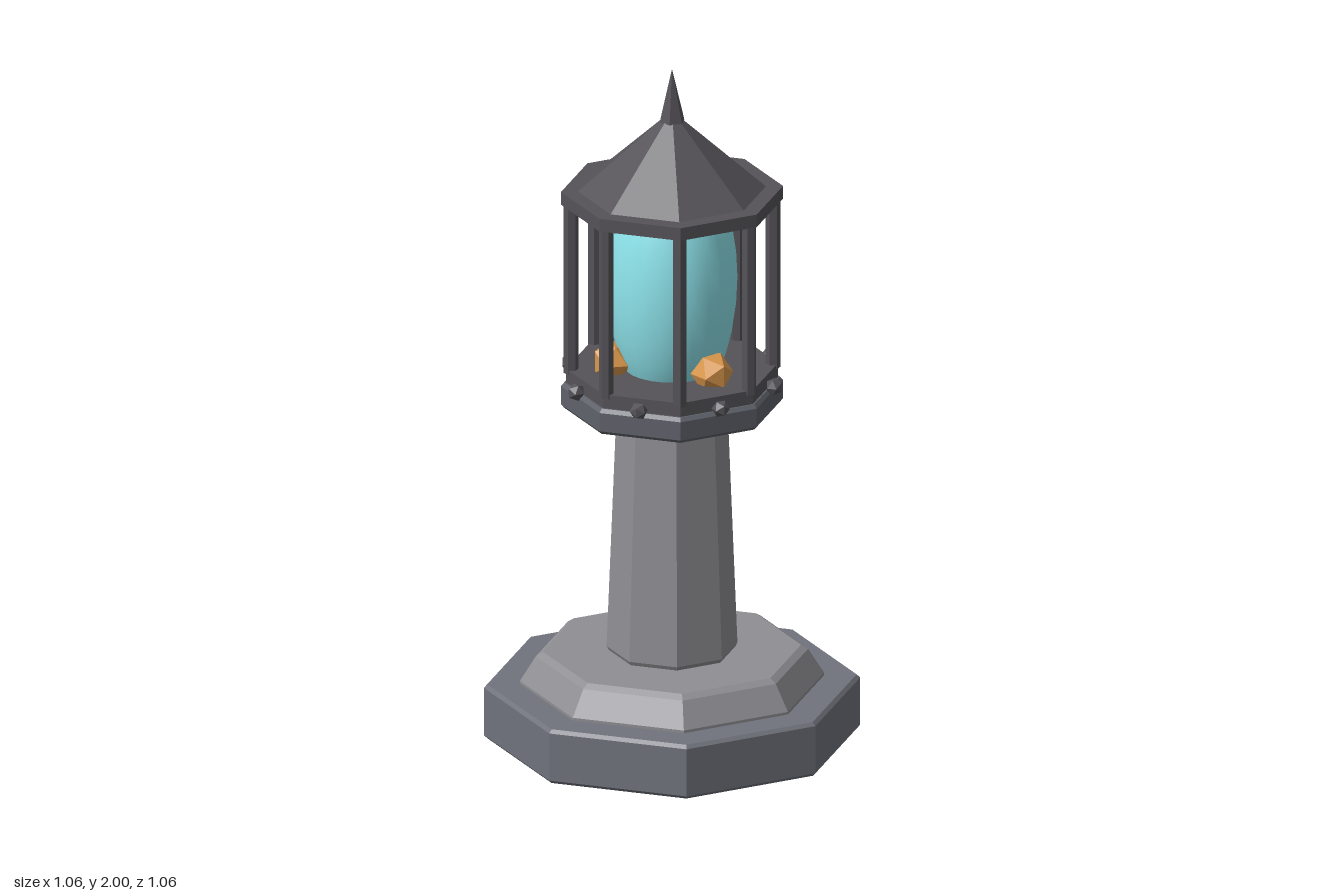
import * as THREE from 'three';

const mat = (color, flatShading = true) => new THREE.MeshStandardMaterial({ color, flatShading });

export function createModel() {
  const model = new THREE.Group();
  const darkStone = mat(0x70737c), stone = mat(0x8f8f94), collarMat = mat(0x60626b);
  const metal = mat(0x555358), glass = mat(0x8fe6ee, false), amber = mat(0xdb984c);

  const add = (name, geometry, material, x = 0, y = 0, z = 0, turn = 0) => {
    const mesh = new THREE.Mesh(geometry, material);
    mesh.name = name;
    mesh.position.set(x, y, z);
    mesh.rotation.y = turn;
    model.add(mesh);
    return mesh;
  };

  // Closed faceted solid from [radius, y] pairs, bottom to top, corners on the axes
  const faceted = (name, material, profile, sides = 8) => {
    const points = [[0, profile[0][1]], ...profile, [0, profile.at(-1)[1]]];
    return add(name, new THREE.LatheGeometry(points.map(p => new THREE.Vector2(...p)), sides), material);
  };

  // Repeats a part around the axis
  const around = (count, radius, start, place) => {
    for (let i = 0; i < count; i++) {
      const a = start + (i / count) * Math.PI * 2;
      place(Math.sin(a) * radius, Math.cos(a) * radius, a);
    }
  };

  // Stepped stone foot and tapering column
  faceted('base', darkStone, [[0.522, 0], [0.532, 0.01], [0.532, 0.152], [0.522, 0.162]]);
  faceted('plinth', stone, [[0.43, 0.16], [0.43, 0.17], [0.385, 0.243], [0.365, 0.256]]);
  faceted('column', stone, [[0.178, 0.255], [0.185, 0.268], [0.157, 0.98], [0.15, 0.995]]);

  // Lantern floor
  faceted('collar', collarMat, [[0.305, 0.99], [0.314, 1.0], [0.314, 1.055], [0.305, 1.066]]);
  faceted('lanternFloor', metal, [[0.3, 1.06], [0.3, 1.107]]);

  // Corner posts and rivets between them
  const post = new THREE.CylinderGeometry(0.021, 0.021, 0.52, 6);
  around(8, 0.285, 0, (x, z, a) => add('post', post, metal, x, 1.355, z, a));
  const rivet = new THREE.IcosahedronGeometry(0.026);
  around(8, 0.303, Math.PI / 8, (x, z, a) => add('rivet', rivet, metal, x, 1.08, z, a));

  // Glowing globe with crystals at its foot
  add('globe', new THREE.SphereGeometry(0.185, 24, 16), glass, 0, 1.37, 0).scale.y = 2.1;
  const crystal = new THREE.IcosahedronGeometry(0.061);
  around(3, 0.17, -0.14, (x, z, a) => add('crystal', crystal, amber, x, 1.135, z, a));

  // Eave, pyramid roof and spire
  faceted('eave', metal, [[0.314, 1.602], [0.314, 1.64]]);
  faceted('roof', metal, [[0.268, 1.638], [0.001, 1.875]]);
  faceted('spire', metal, [[0.037, 1.845], [0.0005, 2]], 6);

  return model;
}
